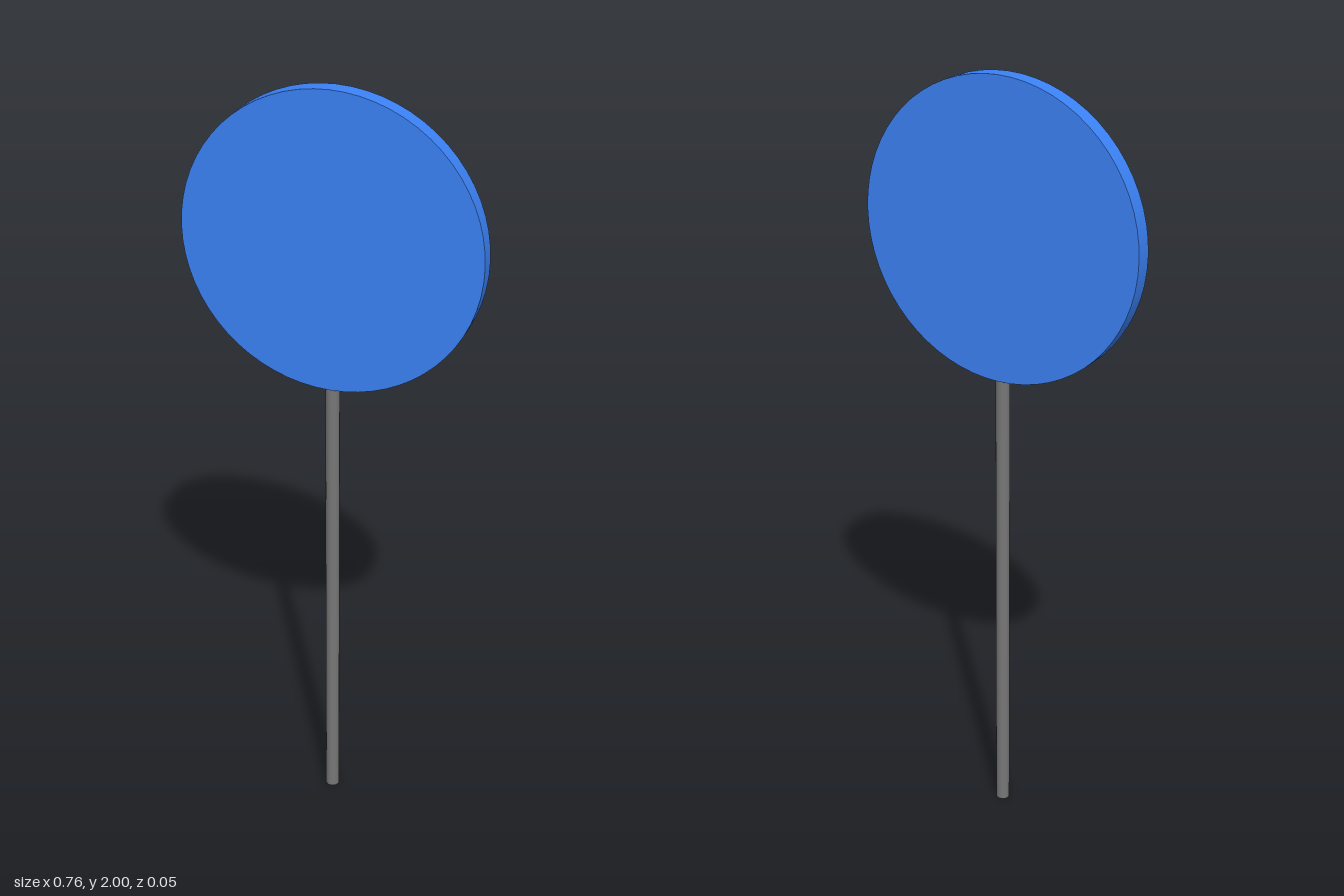
import * as THREE from 'three';

const DISC_RADIUS = 0.38;
const DISC_DEPTH = 0.045;
const DISC_CENTRE = 2 - DISC_RADIUS;
const POLE_RADIUS = 0.018;

export function createModel() {
  const model = new THREE.Group();
  model.name = 'roundSignOnPole';

  // Slim upright pole, ending just inside the rim of the disc
  const poleHeight = DISC_CENTRE - DISC_RADIUS + 0.005;
  const pole = new THREE.Mesh(
    new THREE.CylinderGeometry(POLE_RADIUS, POLE_RADIUS, poleHeight, 16),
    new THREE.MeshStandardMaterial({ color: 0x777777 })
  );
  pole.name = 'pole';
  pole.position.y = poleHeight / 2;
  model.add(pole);

  // Round plate, turned so its flat faces look along z
  const disc = new THREE.Mesh(
    new THREE.CylinderGeometry(DISC_RADIUS, DISC_RADIUS, DISC_DEPTH, 64),
    new THREE.MeshStandardMaterial({ color: 0x3b82f6 })
  );
  disc.name = 'signDisc';
  disc.rotation.x = Math.PI / 2;
  disc.position.y = DISC_CENTRE;
  model.add(disc);

  return model;
}
